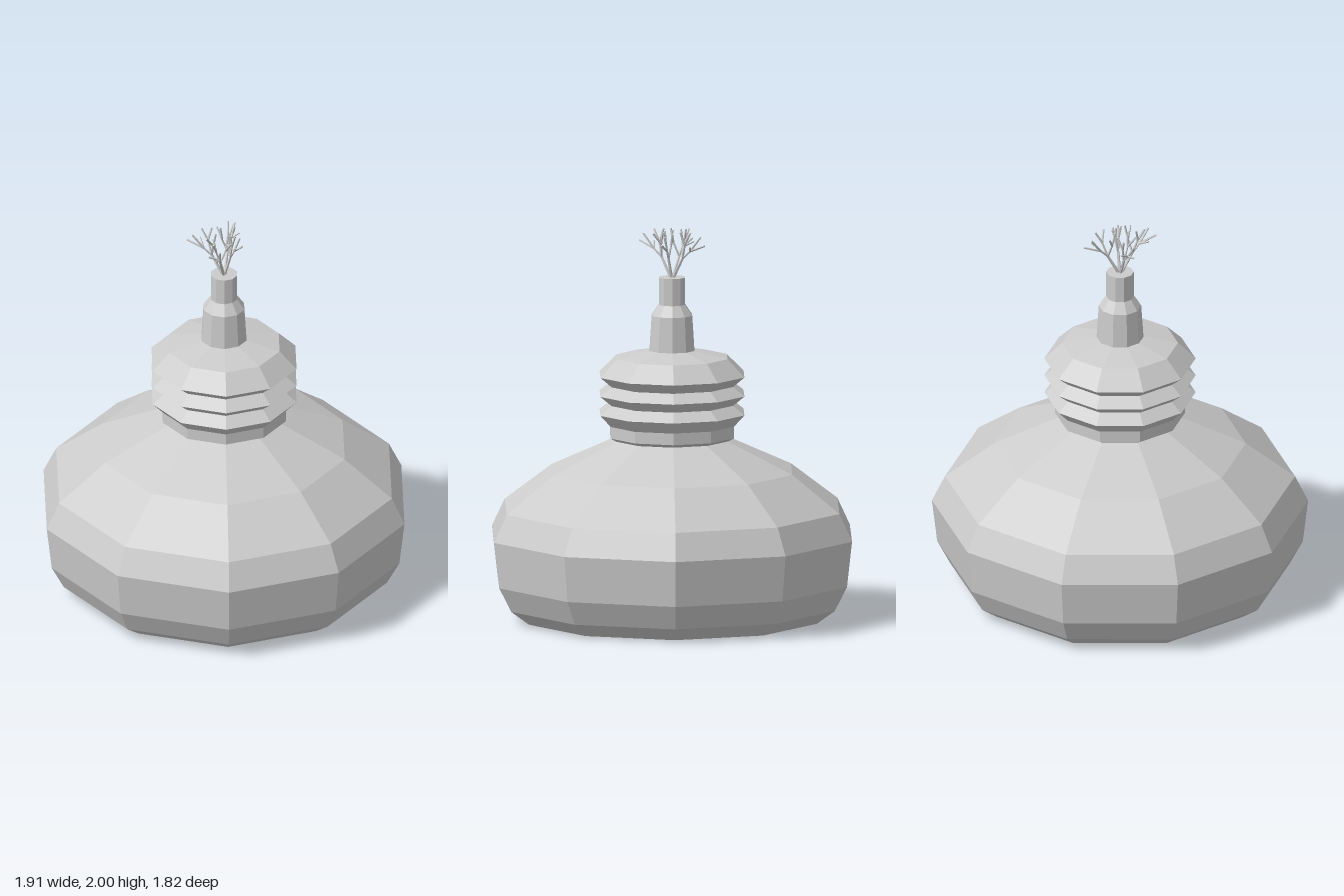
import * as THREE from 'three';

const material = new THREE.MeshStandardMaterial({ color: 0xcccccc, flatShading: true });

// Ten-sided turned part with corners on the x axis
function turned(name, profile) {
  const points = profile.map(([r, y]) => new THREE.Vector2(r, y));
  const mesh = new THREE.Mesh(new THREE.LatheGeometry(points, 10, Math.PI / 2), material);
  mesh.name = name;
  return mesh;
}

// Thin tapered rod between two points
function rod(name, a, b, r0, r1) {
  const dir = b.clone().sub(a);
  const mesh = new THREE.Mesh(new THREE.CylinderGeometry(r1, r0, dir.length(), 5), material);
  mesh.position.copy(a).add(b).multiplyScalar(0.5);
  mesh.quaternion.setFromUnitVectors(new THREE.Vector3(0, 1, 0), dir.normalize());
  mesh.name = name;
  return mesh;
}

// Forked sprig leaning along +x: nodes are [parent, outward, height, sideways]
const sprigNodes = [
  [-1, 0.01, 0, 0],
  [0, 0.065, 0.1, 0],
  [1, 0.105, 0.14, -0.01],
  [2, 0.195, 0.175, -0.01],
  [2, 0.16, 0.215, -0.025],
  [2, 0.14, 0.17, 0.04],
  [1, 0.09, 0.175, 0.015],
  [6, 0.125, 0.235, 0.02],
  [6, 0.075, 0.24, 0.035],
  [1, 0.05, 0.17, -0.025],
  [9, 0.035, 0.245, -0.03],
  [9, 0.075, 0.225, -0.06],
];

function sprig(angle, spread) {
  const group = new THREE.Group();
  group.name = 'sprig';
  const points = sprigNodes.map(([, out, h, side]) => new THREE.Vector3(out * spread, h, side * spread));
  sprigNodes.forEach(([parent], i) => {
    if (parent < 0) return;
    const r = parent === 0 ? 0.008 : 0.006;
    group.add(rod(parent === 0 ? 'stem' : 'twig', points[parent], points[i], r, r - 0.001));
  });
  group.position.y = 1.75;
  group.rotation.y = angle;
  return group;
}

export function createModel() {
  const model = new THREE.Group();
  model.name = 'bottle';

  // Squat faceted vessel
  model.add(turned('body', [
    [0, 0], [0.77, 0], [0.865, 0.07], [0.93, 0.195], [0.957, 0.43],
    [0.89, 0.57], [0.64, 0.76], [0.29, 0.92], [0, 0.92],
  ]));

  // Ribbed collar
  const ribs = [[0, 0.918], [0.3, 0.918], [0.33, 0.935], [0.33, 0.995]];
  for (const y of [1.055, 1.152, 1.25]) {
    ribs.push([0.385, y]);
    if (y < 1.2) ribs.push([0.325, y + 0.047]);
  }
  ribs.push([0.295, 1.34], [0.12, 1.375], [0, 1.375]);
  model.add(turned('ribbedCollar', ribs));

  // Stepped spout
  model.add(turned('spout', [
    [0, 1.37], [0.12, 1.37], [0.108, 1.555], [0.07, 1.61], [0.07, 1.75], [0, 1.75],
  ]));

  // Sprigs fanning out of the spout: left, front, back and a narrower one on the right
  const sprigs = [[Math.PI, 1], [-Math.PI / 2, 1], [Math.PI / 2, 1], [0, 0.5]];
  for (const [angle, spread] of sprigs) model.add(sprig(angle, spread));

  return model;
}
